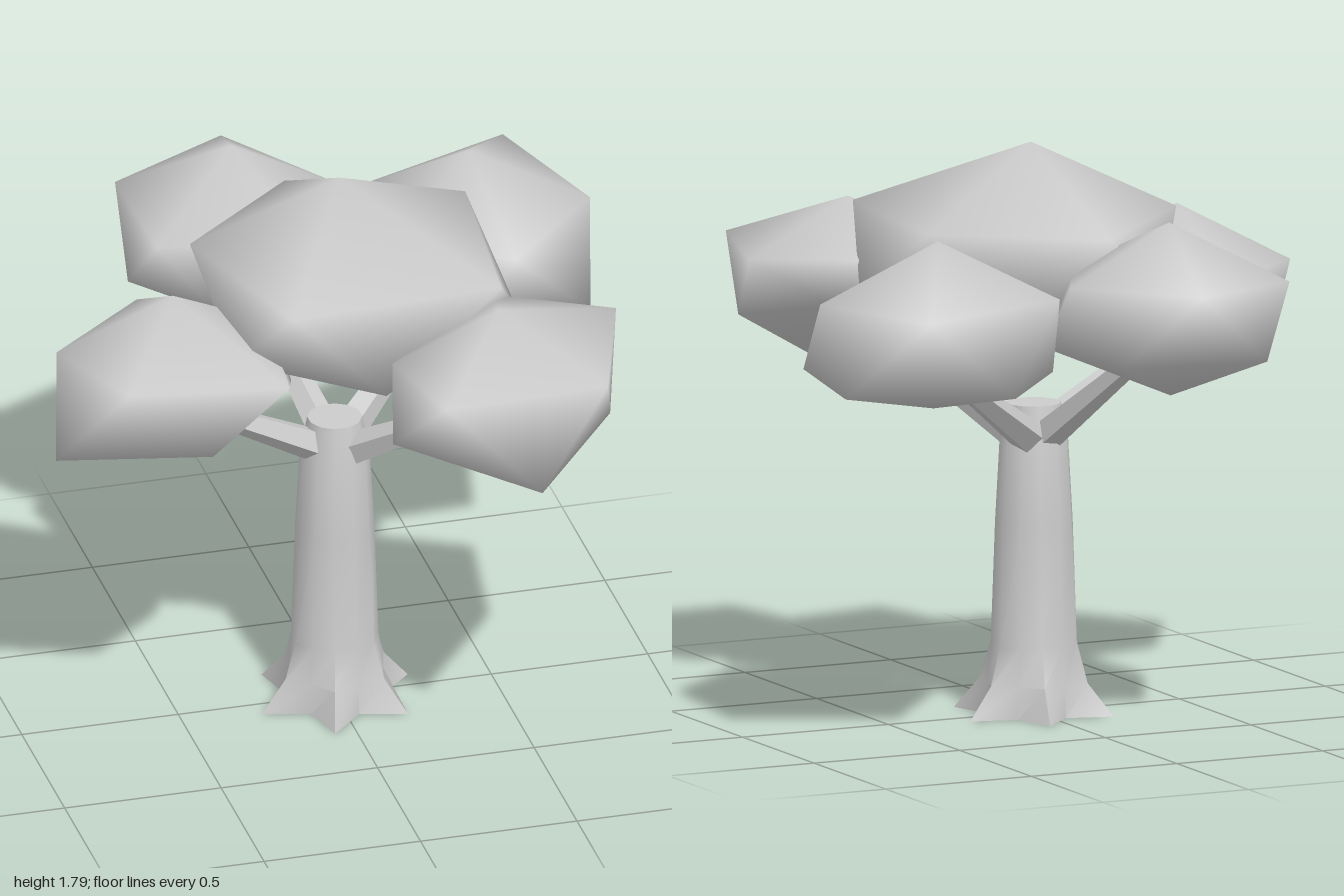
import * as THREE from 'three';
import { mergeVertices, toCreasedNormals } from 'three/addons/utils/BufferGeometryUtils.js';
import { ConvexGeometry } from 'three/addons/geometries/ConvexGeometry.js';

const material = new THREE.MeshStandardMaterial({ color: 0xcccccc });

function addMesh(group, name, geometry) {
  const mesh = new THREE.Mesh(geometry, material);
  mesh.name = name;
  group.add(mesh);
  return mesh;
}

// Leaf clump: two poles plus an upper and a lower five-point ring ([x, z] pairs), smoothly shaded
function leafClump({ top, bottom, upperY, lowerY, upper, lower }) {
  const points = [
    new THREE.Vector3(...top),
    new THREE.Vector3(...bottom),
    ...upper.map(([x, z, y = upperY]) => new THREE.Vector3(x, y, z)),
    ...lower.map(([x, z, y = lowerY]) => new THREE.Vector3(x, y, z)),
  ];
  let geometry = new ConvexGeometry(points);
  geometry.deleteAttribute('normal');
  geometry = mergeVertices(geometry);
  geometry.computeVertexNormals();
  return geometry;
}

// Trunk: twelve-sided tube whose foot spreads into six pointed roots
function trunkGeometry() {
  const sides = 12;
  // height, radius at the root points, radius between them
  const rings = [
    [0, 0.26, 0.15], [0.1, 0.175, 0.145], [0.22, 0.14, 0.135],
    [0.6, 0.122, 0.122], [0.85, 0.108, 0.108], [0.97, 0.085, 0.085],
  ];
  const position = [], index = [];
  for (const [y, tip, valley] of rings) {
    for (let i = 0; i < sides; i++) {
      const a = Math.PI / 4 + (i / sides) * Math.PI * 2;
      const r = i % 2 ? valley : tip;
      position.push(Math.cos(a) * r, y, Math.sin(a) * r);
    }
  }
  for (let k = 0; k < rings.length - 1; k++) {
    for (let i = 0; i < sides; i++) {
      const a = k * sides + i, b = k * sides + ((i + 1) % sides);
      index.push(a, a + sides, b, b, a + sides, b + sides);
    }
  }
  // Flat caps
  const foot = position.length / 3, head = foot + 1;
  position.push(0, 0, 0, 0, 0.97, 0);
  const last = (rings.length - 1) * sides;
  for (let i = 0; i < sides; i++) {
    const j = (i + 1) % sides;
    index.push(foot, i, j, head, last + j, last + i);
  }
  const geometry = new THREE.BufferGeometry();
  geometry.setAttribute('position', new THREE.Float32BufferAttribute(position, 3));
  geometry.setIndex(index);
  return toCreasedNormals(geometry, 0.9);
}

// Branch: tapered five-sided limb between two points
function addBranch(group, name, from, to) {
  const start = new THREE.Vector3(...from), end = new THREE.Vector3(...to);
  const direction = end.clone().sub(start);
  const geometry = new THREE.CylinderGeometry(0.03, 0.055, direction.length(), 5);
  const mesh = addMesh(group, name, toCreasedNormals(geometry, 0.6));
  mesh.position.copy(start).add(end).multiplyScalar(0.5);
  mesh.quaternion.setFromUnitVectors(new THREE.Vector3(0, 1, 0), direction.normalize());
}

const clumps = {
  crownClump: {
    top: [0.02, 1.79, -0.02], bottom: [0.03, 1.12, 0.02], upperY: 1.57, lowerY: 1.31,
    upper: [[-0.03, -0.48, 1.55], [0.48, -0.23], [0.42, 0.41], [-0.27, 0.5, 1.6], [-0.43, -0.12]],
    lower: [[0.22, -0.39], [0.56, 0.07], [0.02, 0.53], [-0.37, 0.2], [-0.27, -0.32]],
  },
  rightClump: {
    top: [-0.55, 1.53, 0.12], bottom: [-0.55, 1.02, 0.13], upperY: 1.34, lowerY: 1.17,
    upper: [[-0.9, 0.04], [-0.57, -0.23], [-0.22, 0], [-0.27, 0.46], [-0.76, 0.38]],
    lower: [[-0.97, 0.29, 1.1], [-0.76, -0.13], [-0.36, -0.23], [-0.18, 0.15, 1.2], [-0.53, 0.52]],
  },
  frontClump: {
    top: [0.38, 1.56, 0.53], bottom: [0.38, 1, 0.52], upperY: 1.42, lowerY: 1.18,
    upper: [[0.12, 0.87], [0.64, 0.85], [0.8, 0.36], [0.45, 0.17], [0.04, 0.53]],
    lower: [[0.39, 1, 1.16], [0.71, 0.62, 1.2], [0.61, 0.19, 1.29], [0.18, 0.27], [0.01, 0.64, 1.2]],
  },
  backLeftClump: {
    top: [0.55, 1.59, -0.45], bottom: [0.57, 1.07, -0.46], upperY: 1.41, lowerY: 1.16,
    upper: [[0.77, -0.85], [0.22, -0.63], [0.26, -0.25], [0.6, -0.08, 1.39], [0.92, -0.38]],
    lower: [[0.49, -0.87], [0.18, -0.5], [0.45, -0.1], [0.85, -0.12], [0.965, -0.65]],
  },
  backRightClump: {
    top: [-0.16, 1.62, -0.62], bottom: [-0.16, 1.08, -0.63], upperY: 1.44, lowerY: 1.23,
    upper: [[-0.09, -1, 1.45], [-0.48, -0.81], [-0.47, -0.36], [0, -0.27], [0.18, -0.62]],
    lower: [[-0.32, -0.98], [-0.51, -0.55], [-0.3, -0.28], [0.19, -0.47], [0.13, -0.9]],
  },
};

const branches = {
  rightBranch: [[-0.03, 0.87, 0.01], [-0.5, 1.13, 0.1]],
  frontBranch: [[0.04, 0.87, 0.04], [0.33, 1.16, 0.42]],
  backLeftBranch: [[0.06, 0.88, -0.07], [0.48, 1.15, -0.42]],
  backRightBranch: [[-0.01, 0.87, -0.05], [-0.14, 1.2, -0.5]],
};

export function createModel() {
  const tree = new THREE.Group();
  tree.name = 'tree';
  addMesh(tree, 'trunk', trunkGeometry());
  for (const [name, [from, to]] of Object.entries(branches)) addBranch(tree, name, from, to);
  for (const [name, clump] of Object.entries(clumps)) addMesh(tree, name, leafClump(clump));
  return tree;
}
